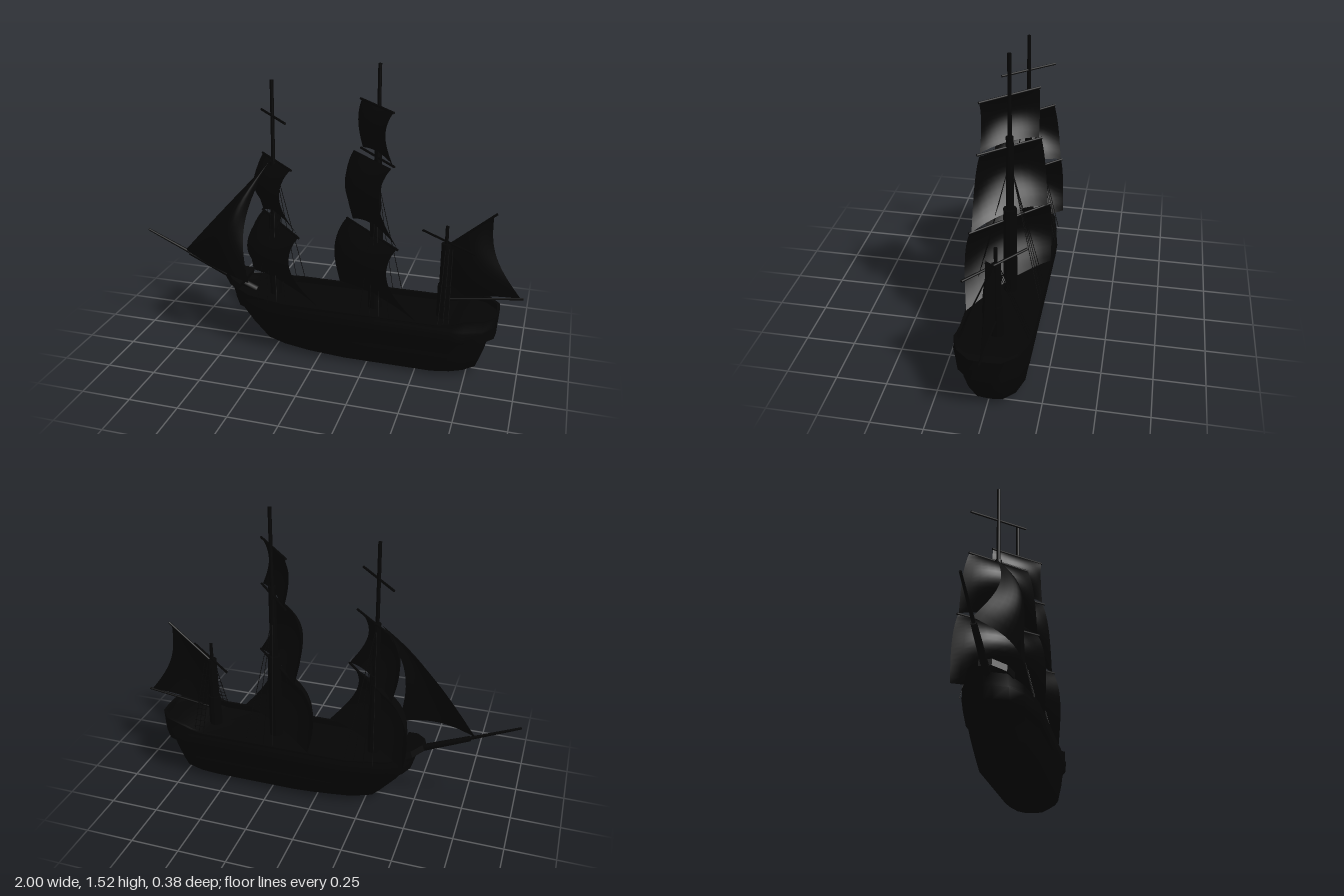
import * as THREE from 'three';
import { toCreasedNormals } from 'three/addons/utils/BufferGeometryUtils.js';

const MAT = new THREE.MeshStandardMaterial({ color: 0x050505, side: THREE.DoubleSide });
const V = (x, y, z = 0) => new THREE.Vector3(x, y, z);

export function createModel() {
  const model = new THREE.Group();
  const ship = new THREE.Group();
  ship.name = 'ship';
  ship.position.z = -0.012;
  model.add(ship);

  const add = (name, geo, parent = ship) => {
    const m = new THREE.Mesh(geo, MAT);
    m.name = name;
    parent.add(m);
    return m;
  };
  // Tapered rod between two points
  const rod = (name, a, b, r1, r2 = r1, sides = 8, parent = ship) => {
    const d = b.clone().sub(a);
    const m = add(name, new THREE.CylinderGeometry(r2, r1, d.length(), sides), parent);
    m.position.copy(a).addScaledVector(d, 0.5);
    m.quaternion.setFromUnitVectors(V(0, 1, 0), d.normalize());
    return m;
  };
  // Surface from a function of (u, v) in 0..1
  const sheet = (name, fn, nu = 12, nv = 14) => {
    const pos = [], idx = [];
    for (let j = 0; j <= nv; j++)
      for (let i = 0; i <= nu; i++) pos.push(...fn(i / nu, j / nv).toArray());
    for (let j = 0; j < nv; j++)
      for (let i = 0; i < nu; i++) {
        const a = j * (nu + 1) + i, b = a + nu + 1;
        idx.push(a, b, a + 1, a + 1, b, b + 1);
      }
    const g = new THREE.BufferGeometry();
    g.setAttribute('position', new THREE.Float32BufferAttribute(pos, 3));
    g.setIndex(idx);
    g.computeVertexNormals();
    return add(name, g);
  };

  // Hull: waterline rings from keel to rail, then inside down to the deck
  const bow = [[0, 0.12], [0.03, 0.5], [0.13, 0.8], [0.33, 1]];
  const stern = [[0.15, 1], [0.06, 0.8], [0.005, 0.42], [0, 0.08]];
  const sheer = x => 0.3 + 0.037 * THREE.MathUtils.smoothstep(x, 0.64, 0.74)
    + 0.025 * THREE.MathUtils.smoothstep(-x, 0.3, 0.5);
  const levels = [ // y (or place on the sheer line), half width, bow x, stern x
    [0, 0, -0.2, 0.73], [0, 0.1, -0.2, 0.73], [0.04, 0.142, -0.32, 0.8],
    [0.13, 0.157, -0.4, 0.832], [0.205, 0.165, -0.455, 0.85], [0.215, 0.174, -0.475, 0.882],
    [0.27, 0.18, -0.493, 0.886], [0.28, 0.175, -0.495, 0.887], ['rail', 0.174, -0.508, 0.891],
    ['rail', 0.16, -0.493, 0.876], ['deck', 0.158, -0.493, 0.873], ['deck', 0, -0.493, 0.873],
  ];
  const hullPos = [], hullIdx = [];
  let n = 0;
  for (const [y, w, xb, xs] of levels) {
    const half = bow.map(([d, f]) => [xb + d, f * w]);
    for (const x of [0.3, 0.62, 0.68]) half.push([Math.min(x, xs - 0.16), w]);
    half.push(...stern.map(([d, f]) => [xs - d, f * w]));
    const ring = [...half, ...half.slice().reverse().map(([x, z]) => [x, -z])];
    n = ring.length;
    for (const [x, z] of ring)
      hullPos.push(x, y === 'rail' ? sheer(x) : y === 'deck' ? sheer(x) - 0.03 : y, z);
  }
  for (let l = 0; l < levels.length - 1; l++)
    for (let i = 0; i < n; i++) {
      const a = l * n + i, b = l * n + (i + 1) % n;
      hullIdx.push(a, b, b + n, a, b + n, a + n);
    }
  const hull = new THREE.BufferGeometry();
  hull.setAttribute('position', new THREE.Float32BufferAttribute(hullPos, 3));
  hull.setIndex(hullIdx);
  add('hull', toCreasedNormals(hull, 0.8));

  // Beakhead at the bow
  const beak = new THREE.Shape([[-0.535, 0.03], [-0.485, 0.087], [-0.43, 0.11],
    [-0.43, -0.11], [-0.485, -0.087], [-0.535, -0.03]].map(p => new THREE.Vector2(...p)));
  const beakGeo = new THREE.ExtrudeGeometry(beak, { depth: 0.035, bevelEnabled: false });
  beakGeo.rotateX(Math.PI / 2).translate(0.485, 0, 0).rotateZ(-0.28).translate(-0.485, 0.362, 0);
  add('beakhead', beakGeo);

  // Stepped masts: [top y, radius] for each stage
  const mast = (name, x, stages) => {
    let y = 0.2;
    for (const [top, r] of stages) {
      rod(name, V(x, y), V(x, top), r, r * 0.92, 12);
      y = top - 0.01;
    }
  };
  const FORE = -0.273, MAIN = 0.262, MIZZEN = 0.613;
  mast('foreMast', FORE, [[0.72, 0.032], [1.0, 0.02], [1.41, 0.01]]);
  mast('mainMast', MAIN, [[0.74, 0.036], [1.12, 0.02], [1.52, 0.01]]);
  mast('mizzenMast', MIZZEN, [[0.44, 0.035], [0.66, 0.026], [0.75, 0.009]]);
  rod('bowsprit', V(-0.38, 0.275), V(-0.76, 0.442), 0.021, 0.014);
  rod('bowspritTip', V(-0.74, 0.435), V(-0.998, 0.55), 0.009, 0.006);

  // Braced yards
  const yard = (x, y, dx, dz) => rod('yard', V(x - dx, y, -dz), V(x + dx, y, dz), 0.006);
  yard(-0.27, 1.23, 0.104, 0.118);
  yard(-0.257, 1.0, 0.118, 0.122);
  yard(-0.245, 0.67, 0.155, 0.165);
  yard(0.25, 1.32, 0.108, 0.119);
  yard(0.257, 1.068, 0.112, 0.13);
  yard(0.235, 0.67, 0.17, 0.17);
  yard(0.622, 0.667, 0.147, 0.12);

  // Billowing square sails: top and bottom edges are [x, y, half dx, half dz];
  // belly is the depth at the middle, edge the depth at the sides
  const squareSail = (name, t, b, belly, edge, sideways, arch) => sheet(name, (u, v) => {
    const s = u * 2 - 1, mid = 1 - s * s, mix = k => t[k] + (b[k] - t[k]) * v;
    const swell = Math.sin(Math.PI * Math.pow(v, 0.85));
    const rim = edge * (0.8 + 0.2 * s) * (1 - mid);
    return V(mix(0) + s * mix(2) - swell * (0.8 * belly * mid + rim),
      mix(1) + arch * mid * v * v,
      s * mix(3) + swell * (0.58 * belly * mid + sideways * u * (1 - mid)));
  });
  squareSail('mainTopgallantSail', [0.253, 1.32, 0.103, 0.117], [0.257, 1.075, 0.1, 0.118], 0.055, 0.036, 0, 0.02);
  squareSail('mainTopsail', [0.232, 1.055, 0.122, 0.122], [0.25, 0.675, 0.15, 0.158], 0.105, 0.068, 0.02, 0.04);
  squareSail('mainCourse', [0.23, 0.668, 0.168, 0.165], [0.27, 0.3, 0.24, 0.17], 0.122, 0.08, 0.035, 0.03);
  squareSail('foreTopsail', [-0.257, 1.0, 0.113, 0.12], [-0.243, 0.675, 0.15, 0.158], 0.105, 0.068, 0.02, 0.04);
  squareSail('foreCourse', [-0.245, 0.668, 0.15, 0.16], [-0.225, 0.305, 0.24, 0.17], 0.15, 0.08, 0.035, 0.03);

  // Triangular jib, bellied to port
  const tack = V(-0.785, 0.455), head = V(-0.3, 0.99), clew = V(-0.37, 0.38, 0.148);
  sheet('jib', (u, v) => {
    const luff = tack.clone().lerp(head, v), leech = clew.clone().lerp(head, v);
    const p = luff.lerp(leech, u);
    p.z += (0.06 + 0.04 * Math.sin(Math.PI * u) - 0.02 * u) * Math.sin(Math.PI * v)
      + 0.04 * Math.sin(Math.PI * u) * (1 - v);
    p.x -= 0.06 * u * Math.sin(Math.PI * v);
    p.y += 0.015 * Math.sin(Math.PI * u) * (1 - v);
    return p;
  });

  // Spanker between gaff and boom, with a hollow after edge
  rod('gaff', V(0.615, 0.645), V(0.845, 0.838), 0.006);
  rod('boom', V(0.615, 0.36), V(0.999, 0.414), 0.006);
  sheet('spanker', (u, v) => {
    const low = V(0.635 + 0.35 * u, 0.368 + 0.046 * u);
    const p = low.lerp(V(0.635 + 0.195 * u, 0.66 + 0.163 * u), v);
    p.x -= 0.052 * u * Math.sin(Math.PI * v);
    p.y += 0.012 * Math.sin(Math.PI * u) * (1 - v);
    p.z += 0.03 * Math.sin(Math.PI * u) * Math.sin(Math.PI * v);
    return p;
  });

  // Shrouds on both sides, and rope ladders at the mizzen
  for (const side of [-1, 1]) {
    for (const [x, top] of [[FORE, 0.99], [MAIN, 0.95]])
      for (let i = 0; i < 4; i++)
        rod('shroud', V(x, top, 0.01 * side), V(x - 0.04 + 0.05 * i, 0.29, 0.165 * side),
          0.0016, 0.0016, 4);
    const ladder = new THREE.Group();
    ladder.name = 'ropeLadder';
    ship.add(ladder);
    const rail = (dx, t) => V(MIZZEN + dx * (1 - 0.3 * t), 0.3 + 0.34 * t, side * (0.16 - 0.14 * t));
    for (const dx of [0, 0.025, 0.05])
      rod('ladderRope', rail(dx, 0), rail(dx, 1), 0.0018, 0.0018, 4, ladder);
    for (let i = 1; i < 12; i++)
      rod('ratline', rail(-0.005, i / 12), rail(0.055, i / 12), 0.0018, 0.0018, 4, ladder);
  }
  return model;
}
